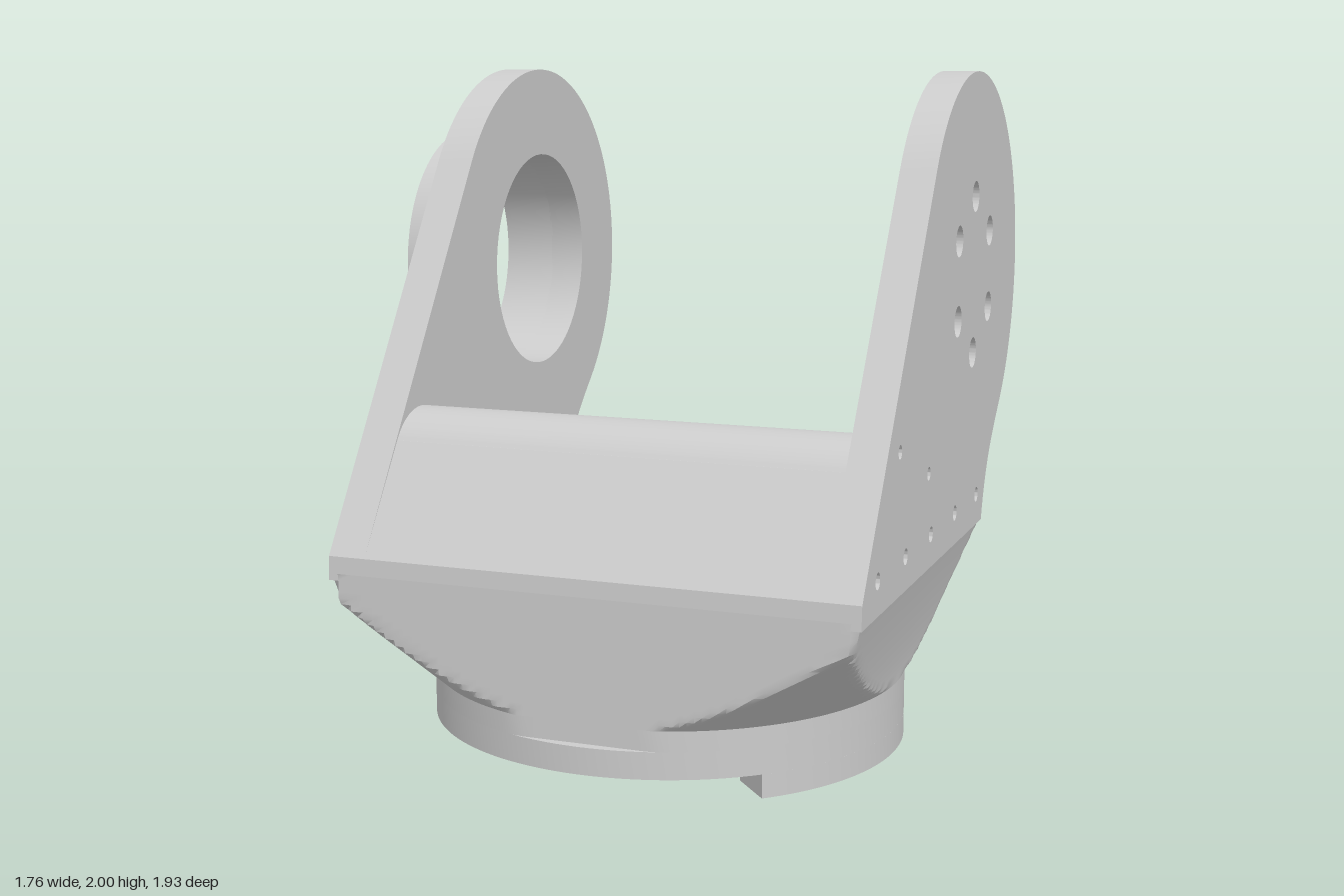
import * as THREE from 'three';
import { toCreasedNormals } from 'three/addons/utils/BufferGeometryUtils.js';

const CX = 0.0825, CZ = 0.25;          // axis of the round base
const PY = 1.37, PZ = -0.33, PR = 0.63; // pivot of the arms
const mat = new THREE.MeshStandardMaterial({ color: 0xcccccc, side: THREE.DoubleSide });

export function createModel() {
  const group = new THREE.Group();

  const add = (name, geo) => {
    const mesh = new THREE.Mesh(toCreasedNormals(geo, 0.5), mat);
    mesh.name = name;
    group.add(mesh);
  };
  const hole = (x, y, r) => new THREE.Path().absarc(x, y, r, 0, Math.PI * 2, true);
  const extrude = (shape, depth) =>
    new THREE.ExtrudeGeometry(shape, { depth, bevelEnabled: false, curveSegments: 32 });
  // profile drawn in (z, y), running along x
  const sideways = (name, shape, x0, x1) =>
    add(name, extrude(shape, x1 - x0).rotateY(-Math.PI / 2).translate(x1, 0, 0));
  // outline drawn in (x, z) about the base axis, running along y
  const upright = (name, shape, y0, y1) =>
    add(name, extrude(shape, y1 - y0).rotateX(Math.PI / 2).translate(CX, y1, CZ));
  const polarShape = (radius, n = 120) => {
    const pts = [];
    for (let i = 0; i < n; i++) {
      const a = (i / n) * Math.PI * 2, r = radius(a);
      pts.push(new THREE.Vector2(r * Math.cos(a), r * Math.sin(a)));
    }
    return new THREE.Shape(pts);
  };
  const boltHoles = (shape, limit = Math.PI) => {
    for (let k = 0; k < 8; k++) {
      const a = -Math.PI + Math.PI / 8 + (k * Math.PI) / 4;
      if (Math.abs(a) < limit) shape.holes.push(hole(0.645 * Math.cos(a), 0.645 * Math.sin(a), 0.028));
    }
    return shape;
  };
  // circle of radius r limited by a box, as a radius for each angle
  const clip = (a, r, hx, front, back) => {
    const s = Math.sin(a);
    return Math.min(r, hx / Math.max(1e-6, Math.abs(Math.cos(a))),
      (s > 0 ? front : back) / Math.max(1e-6, Math.abs(s)));
  };

  // base ring: flange, trimmed upper ring with inner groove, locating tab
  const flange = boltHoles(polarShape(() => 0.72));
  flange.holes.push(hole(0, 0, 0.56));
  upright('baseFlange', flange, 0.07, 0.15);
  const upper = polarShape((a) => clip(a, 0.72, 1, 0.69, 0.69));
  upper.holes.push(hole(0, 0, 0.6));
  upright('baseUpperRing', upper, 0.15, 0.21);
  const ta = 0.848;
  const tab = new THREE.Shape().absarc(0, 0, 0.72, -ta, ta, false);
  tab.absarc(0, 0, 0.56, ta, -ta, true);
  tab.closePath();
  upright('baseTab', boltHoles(tab, ta), 0, 0.07);

  // floor around the bore
  const collar = polarShape(() => 0.62);
  collar.holes.push(hole(0, 0, 0.56));
  upright('boreCollar', collar, 0.21, 0.36);
  const floor = boltHoles(polarShape((a) => {
    const notch = Math.sin(a) < 0 && Math.abs(Math.cos(a)) < 0.35;
    return clip(a, notch ? 0.8 : 0.735, 0.69, 0.66, 0.71);
  }));
  floor.holes.push(hole(0, 0, 0.56));
  upright('floor', floor, 0.34, 0.38);

  // body shell: a cone cut by four side faces
  const backZ = (y) => { const t = y - 0.21; return -0.44 - 0.06 * t - 0.45 * t * t; };
  const rimY = (d) => { // channel rim height at distance d from the middle
    if (d < 0.275) return 0.38;
    return d < 0.485 ? 0.45 : 0.65 - Math.sqrt(Math.max(0, 0.04 - (d - 0.485) ** 2));
  };
  const N = 240, M = 20;
  const shell = new THREE.PlaneGeometry(1, 1, N, M);
  const sp = shell.attributes.position;
  for (let j = 0; j <= M; j++) {
    for (let i = 0; i <= N; i++) {
      const a = -(i / N) * Math.PI * 2, s = Math.sin(a);
      const d = s < 0 ? Math.abs((0.74 * Math.cos(a)) / s) : 1;
      const top = d < 0.685 ? rimY(d) : 0.57;
      const rise = (top - 0.21) * (1 - j / M), y = 0.21 + rise;
      const halfX = 0.72 + 0.075 * Math.pow(Math.min(1, rise / 0.36), 1.3);
      const r = clip(a, 0.72 + 1.13 * rise, halfX, 0.69, CZ - backZ(y));
      sp.setXYZ(j * (N + 1) + i, CX + r * Math.cos(a), y, CZ + r * s);
    }
  }
  add('bodyShell', shell);

  // rear corner fillets with the round pocket wall below them
  for (const side of [-1, 1]) {
    const n = 24, geo = new THREE.PlaneGeometry(1, 1, n, 2), p = geo.attributes.position;
    for (let i = 0; i <= n; i++) {
      const d = 0.276 + (0.685 - 0.276) * (i / n), y = rimY(d), x = CX + side * d;
      const zc = CZ - Math.sqrt(0.735 ** 2 - d * d);
      p.setXYZ(i, x, y, backZ(y));
      p.setXYZ(n + 1 + i, x, y, zc);
      p.setXYZ(2 * (n + 1) + i, x, 0.36, zc);
    }
    add('rearFillet', geo);
    // short cheek of the fillet's end at the notch
    const cheek = new THREE.BoxGeometry(0.01, 0.08, 0.045);
    add('notchCheek', cheek.translate(CX + side * 0.281, 0.41, -0.455));
    // inner side wall
    add('innerWall', new THREE.BoxGeometry(0.02, 0.24, 0.9).translate(CX + side * 0.695, 0.48, 0.28));
  }

  // arms
  const armShape = () => {
    const s = new THREE.Shape();
    s.moveTo(-0.512, 0.55);
    s.lineTo(0.94, 0.55);
    s.lineTo(0.935, 0.62);
    s.absarc(PZ, PY, PR, 0.595, 3.96, false);
    s.bezierCurveTo(-0.65, 0.81, -0.56, 0.73, -0.512, 0.55);
    for (const z of [0.78, 0.48, 0.18, -0.13, -0.43]) s.holes.push(hole(z, 0.65, 0.024));
    s.holes.push(hole(0.56, 0.965, 0.02), hole(0.22, 0.84, 0.02));
    return s;
  };
  const leftArm = armShape();
  for (let k = 0; k < 6; k++) {
    const a = Math.PI / 2 + (k * Math.PI) / 3;
    leftArm.holes.push(hole(PZ + 0.245 * Math.cos(a), PY + 0.245 * Math.sin(a), 0.048));
  }
  sideways('leftArm', leftArm, 0.77, 0.88);
  const rightArm = armShape();
  rightArm.holes.push(hole(PZ, PY, 0.35));
  sideways('rightArm', rightArm, -0.715, -0.6);

  // hollow bearing boss on the right arm
  const boss = new THREE.Shape().absarc(PZ, PY, 0.42, 0, Math.PI * 2, false);
  boss.holes.push(hole(PZ, PY, 0.35));
  sideways('bearingBoss', boss, -0.885, -0.71);

  // bent cross web between the arms
  const web = new THREE.Shape();
  web.moveTo(0.94, 0.55);
  web.lineTo(0.935, 0.62);
  web.lineTo(0.72, 0.93);
  web.absarc(0.57, 0.83, 0.18, 0.59, 1.937, false);
  web.lineTo(0.05, 0.825);
  web.lineTo(0.05, 0.775);
  web.lineTo(0.525, 0.945);
  web.quadraticCurveTo(0.61, 0.96, 0.66, 0.9);
  web.lineTo(0.86, 0.6);
  web.lineTo(0.86, 0.55);
  web.closePath();
  sideways('crossWeb', web, -0.605, 0.775);

  return group;
}
